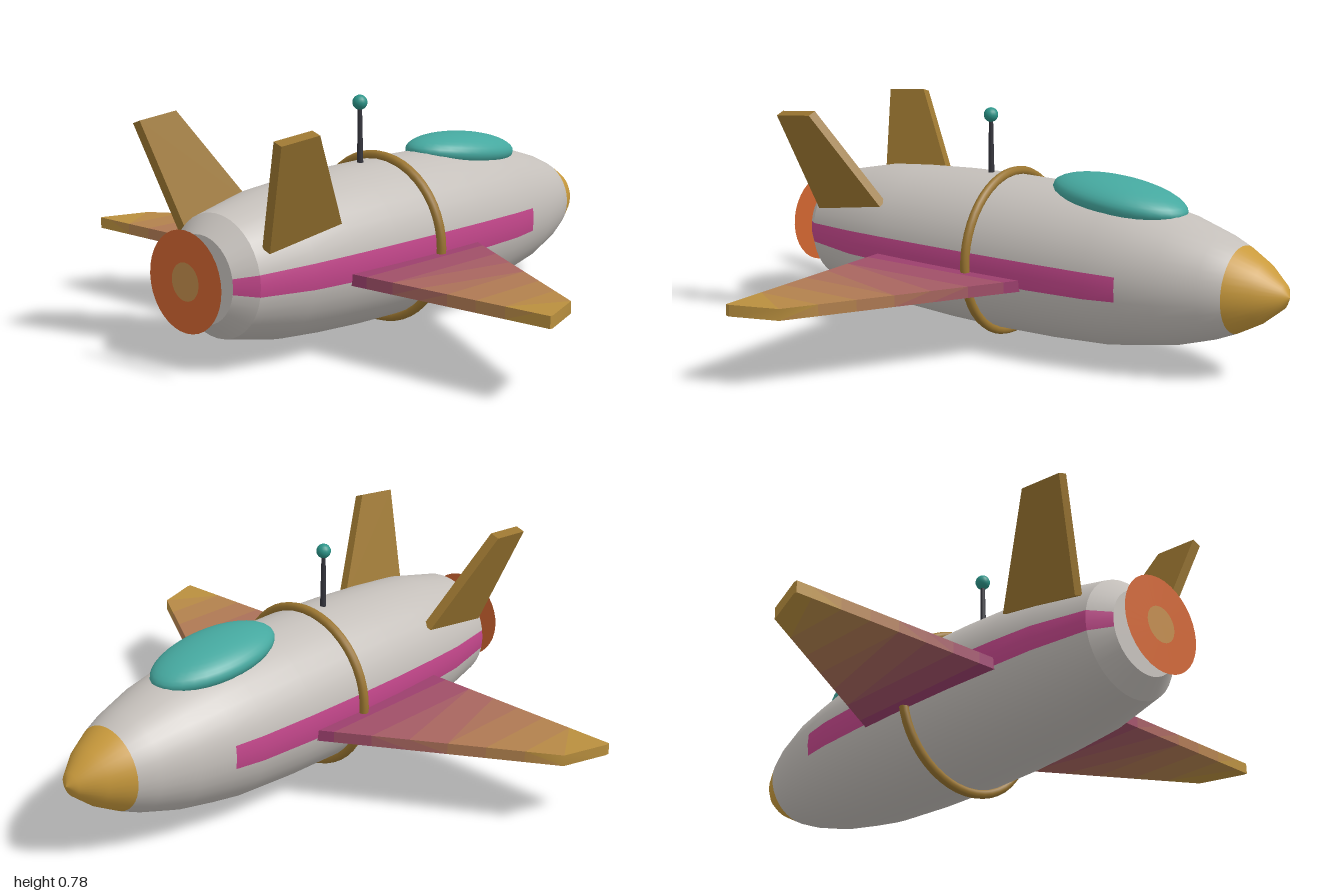
import * as THREE from 'three';

const AXIS_Y = 0.293; // height of the hull axis

const material = (color, side = THREE.FrontSide) => new THREE.MeshStandardMaterial({ color, side });

function add(parent, name, geometry, color, x = 0, y = 0, z = 0, side) {
  const mesh = new THREE.Mesh(geometry, material(color, side));
  mesh.name = name;
  mesh.position.set(x, y, z);
  parent.add(mesh);
  return mesh;
}

// Split a geometry into one mesh per colour, chosen from each triangle's centre;
// the normals are shared, so the shading stays continuous across the split.
function addPainted(parent, name, geometry, colorAt) {
  const { position, normal } = geometry.attributes;
  const faces = new Map();
  const centre = new THREE.Vector3(), v = new THREE.Vector3();
  for (let i = 0; i < geometry.index.count; i += 3) {
    const tri = [0, 1, 2].map((k) => geometry.index.getX(i + k));
    centre.set(0, 0, 0);
    tri.forEach((t) => centre.add(v.fromBufferAttribute(position, t)));
    const color = colorAt(centre.divideScalar(3));
    if (!faces.has(color)) faces.set(color, []);
    faces.get(color).push(...tri);
  }
  const group = new THREE.Group();
  group.name = name;
  for (const [color, index] of faces) {
    const part = new THREE.BufferGeometry();
    part.setAttribute('position', position);
    part.setAttribute('normal', normal);
    part.setIndex(index);
    add(group, name + 'Panel', part, color);
  }
  parent.add(group);
  return group;
}

// Turned body along z; profile points are [radius, z] from nose to tail
function turned(profile) {
  const points = profile.map(([r, z]) => new THREE.Vector2(r, z));
  return new THREE.LatheGeometry(points, 36).rotateX(Math.PI / 2);
}

const GREY = 0xc4bfba, PINK = 0xc2468a, GOLD = 0xc99a3c, BRASS = 0x9a7530;

// Grey skin, gold nose cap and a pink band along each side
function hullColor(c) {
  if (c.z < -0.8) return GOLD;
  const onBand = Math.abs(c.y) < 0.15 * Math.hypot(c.x, c.y);
  return onBand && c.z > -0.48 ? PINK : GREY;
}

// Tapered slab from root to clipped tip, pink fading to gold
function wingGeometry() {
  const segments = 8;
  const geometry = new THREE.BoxGeometry(segments, 0.038, 1, segments, 1, 1);
  const p = geometry.attributes.position;
  for (let i = 0; i < p.count; i++) {
    const u = Math.round(p.getX(i) + segments / 2);
    const tip = u === segments;
    const x = tip ? 1 : 0.2 + (0.747 * u) / (segments - 1);
    const lead = tip ? 0.465 : -0.15 + 0.609 * (x - 0.2);
    const trail = 0.497 - 0.019 * x;
    p.setX(i, x);
    p.setZ(i, p.getZ(i) > 0 ? trail : lead);
  }
  geometry.computeVertexNormals();
  return geometry;
}

function wingColor(c) {
  const t = Math.round(THREE.MathUtils.clamp((c.x - 0.25) / 0.7, 0, 1) * 8) / 8;
  return new THREE.Color(0x9c3f6d).lerp(new THREE.Color(0xb98f3e), t).getHex();
}

// Swept fin plate, drawn as (z, height) and extruded sideways
function finGeometry() {
  const shape = new THREE.Shape(
    [[0.505, 0.05], [0.8, 0], [0.87, 0.37], [0.716, 0.385]].map(([z, s]) => new THREE.Vector2(z, s)));
  const geometry = new THREE.ExtrudeGeometry(shape, { depth: 0.034, bevelEnabled: false });
  return geometry.translate(0, 0, -0.017).rotateY(-Math.PI / 2);
}

export function createModel() {
  const model = new THREE.Group();
  model.name = 'rocketPlane';

  // Hull and tapered tail
  const hull = turned([
    [0, -0.96], [0.04, -0.94], [0.098, -0.87], [0.142, -0.79], [0.172, -0.72], [0.212, -0.59],
    [0.236, -0.46], [0.253, -0.35], [0.264, -0.14], [0.267, 0.08], [0.263, 0.29], [0.253, 0.48],
    [0.239, 0.64], [0.197, 0.835],
  ]);
  addPainted(model, 'hull', hull, hullColor).position.y = AXIS_Y;
  addPainted(model, 'tailTaper', turned([[0.197, 0.835], [0.14, 0.895]]), hullColor).position.y = AXIS_Y;
  add(model, 'tailCap', new THREE.CircleGeometry(0.14, 36), GREY, 0, AXIS_Y, 0.895);

  // Thin exhaust disc behind the tail
  add(model, 'exhaustCore', new THREE.CircleGeometry(0.06, 36), 0xc08a4a, 0, AXIS_Y + 0.005, 0.96, THREE.DoubleSide);
  add(model, 'exhaustRim', new THREE.RingGeometry(0.06, 0.16, 36), 0xcf6430, 0, AXIS_Y + 0.005, 0.96, THREE.DoubleSide);

  // Band around the waist
  add(model, 'hullRing', new THREE.TorusGeometry(0.277, 0.016, 10, 48), BRASS, 0, AXIS_Y, 0.095);

  // Canopy
  const canopy = add(model, 'canopy', new THREE.SphereGeometry(1, 32, 20), 0x45a89f, 0, 0.533, -0.335);
  canopy.scale.set(0.14, 0.066, 0.248);
  canopy.rotation.x = -0.11;

  // Antenna
  add(model, 'antennaMast', new THREE.CylinderGeometry(0.007, 0.011, 0.22, 10), 0x34343c, 0, 0.645, 0.185);
  add(model, 'antennaTip', new THREE.SphereGeometry(0.025, 16, 12), 0x2b9488, 0, 0.758, 0.185);

  // Mirrored wings and tail fins
  for (const [side, sign] of [['left', 1], ['right', -1]]) {
    const half = new THREE.Group();
    half.name = side + 'Side';
    half.scale.x = sign;
    addPainted(half, side + 'Wing', wingGeometry(), wingColor).position.y = 0.257;
    const fin = add(half, side + 'TailFin', finGeometry(), BRASS, 0.185, 0.393, 0);
    fin.rotation.z = -0.35;
    model.add(half);
  }
  return model;
}
